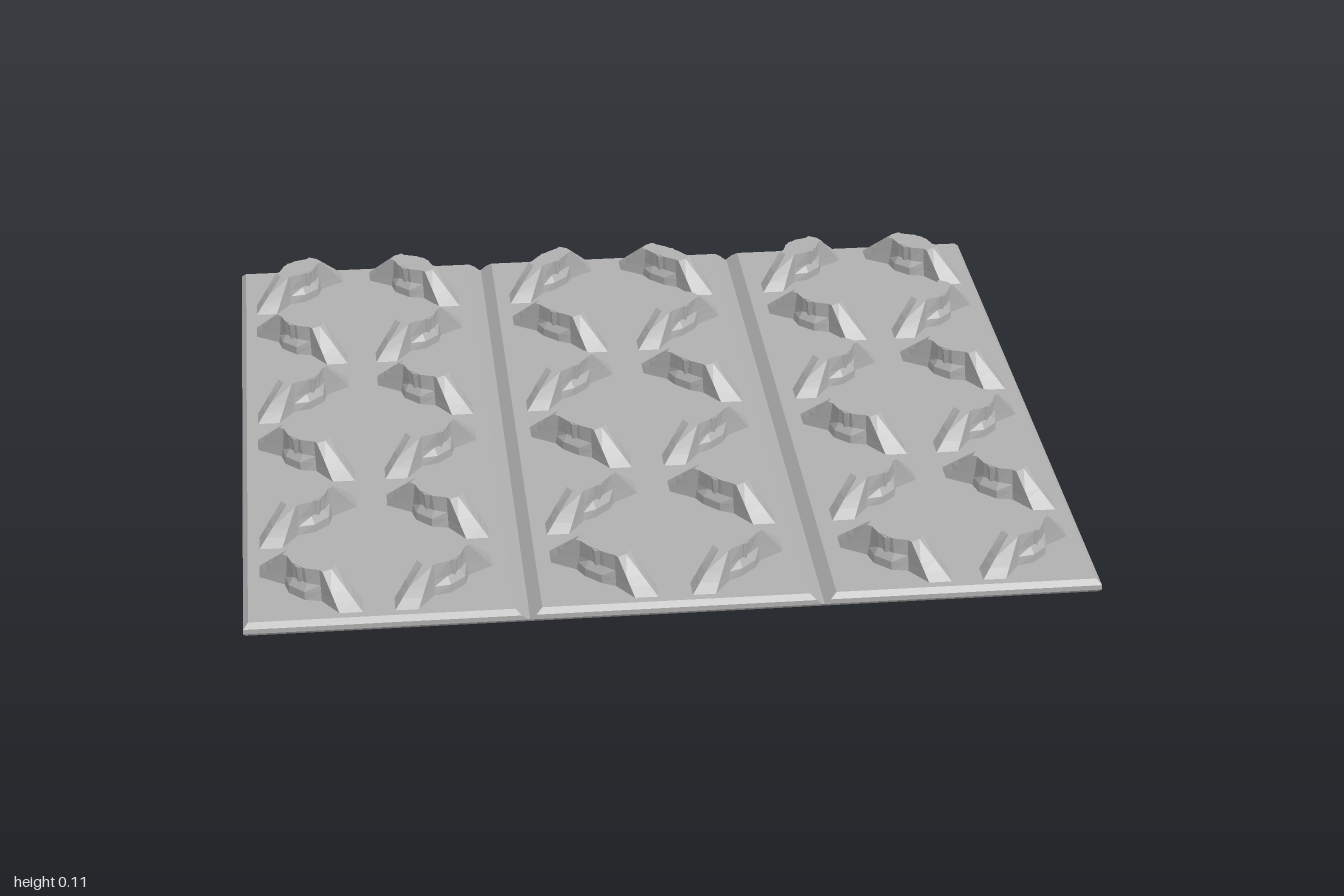
import * as THREE from 'three';
import { mergeGeometries } from 'three/addons/utils/BufferGeometryUtils.js';

// Flat-faced solid through stacked rings of [x, y, z], counter-clockwise from above
function loft(rings) {
  const pos = [];
  const tri = (...p) => p.forEach((q) => pos.push(...q));
  const n = rings[0].length;
  const middle = (r) => [0, 1, 2].map((k) => r.reduce((s, p) => s + p[k], 0) / n);
  const low = rings[0], high = rings[rings.length - 1];
  const cl = middle(low), ch = middle(high);
  for (let i = 0; i < n; i++) {
    const j = (i + 1) % n;
    for (let r = 0; r + 1 < rings.length; r++) {
      const a = rings[r], b = rings[r + 1];
      tri(a[i], a[j], b[j]);
      tri(a[i], b[j], b[i]);
    }
    tri(cl, low[j], low[i]);
    tri(ch, high[i], high[j]);
  }
  const g = new THREE.BufferGeometry();
  g.setAttribute('position', new THREE.Float32BufferAttribute(pos, 3));
  g.computeVertexNormals();
  return g;
}

const rect = (x0, x1, z, y) => [[x1, y, z], [x1, y, -z], [x0, y, -z], [x0, y, z]];

// Mirrors a quarter outline (tip, wing, waist, bulge) into a full ring
function cleatRing(y, quarter) {
  const half = [...quarter, ...quarter.map(([u, w]) => [-u, w]).reverse()];
  const back = half.slice(1, -1).map(([u, w]) => [u, -w]).reverse();
  return [...half, ...back].map(([u, w]) => [u, y, -w]);
}

// Bow-tie cleat with sloping wings and a tongue on each side
function cleatGeometry(bulge) {
  const body = loft([
    cleatRing(0.028, [[0.17, 0], [0.131, 0.039], [0.06, 0.025], [0.026, bulge]]),
    cleatRing(0.052, [[0.141, 0], [0.111, 0.034], [0.057, 0.023], [0.025, bulge]]),
    cleatRing(0.07, [[0.119, 0], [0.097, 0.031], [0.055, 0.022], [0.022, bulge - 0.012]]),
    cleatRing(0.11, [[0.07, 0], [0.064, 0.023], [0.052, 0.021], [0.02, bulge - 0.009]]),
  ]);
  const tongues = [-1, 1].map((s) => {
    const g = new THREE.CylinderGeometry(0.016, 0.009, 0.055, 8).toNonIndexed();
    g.deleteAttribute('uv');
    g.translate(0, 0.081, s * (bulge - 0.019));
    g.computeVertexNormals();
    return g;
  });
  return mergeGeometries([body, ...tongues]);
}

export function createModel() {
  const model = new THREE.Group();
  const grey = new THREE.MeshStandardMaterial({ color: 0xb0b0b0 });
  grey.name = 'grey';
  const add = (name, geometry) => {
    const m = new THREE.Mesh(geometry, grey);
    m.name = name;
    model.add(m);
    return m;
  };

  // Thin backing slab
  add('backing', loft([rect(-0.995, 0.995, 0.93, 0), rect(-1, 1, 0.935, 0.007)]));

  // Three bevelled panels, with V grooves between them
  const panels = [
    ['leftPanel', 0.345, 1, 0.374, 0.988],
    ['middlePanel', -0.341, 0.341, -0.312, 0.312],
    ['rightPanel', -1, -0.345, -0.988, -0.374],
  ];
  for (const [name, x0, x1, t0, t1] of panels) {
    const m0 = Math.abs(x0) === 1 ? x0 : (x0 + t0) / 2;
    const m1 = Math.abs(x1) === 1 ? x1 : (x1 + t1) / 2;
    add(name, loft([
      rect(x0, x1, 0.935, 0.007),
      rect(m0, m1, 0.935, 0.019),
      rect(t0, t1, 0.923, 0.031),
    ]));
  }

  // Cleats in alternating diagonals, fuller on the outer panels
  const outer = cleatGeometry(0.046), inner = cleatGeometry(0.036);
  [-0.842, -0.532, -0.158, 0.158, 0.532, 0.842].forEach((x, i) => {
    [-0.785, -0.473, -0.16, 0.16, 0.473, 0.785].forEach((z, j) => {
      const cleat = add('cleat', Math.abs(x) < 0.3 ? inner : outer);
      cleat.position.set(x, 0, z);
      cleat.rotation.y = ((i + j) % 2 ? -1 : 1) * Math.PI / 4;
    });
  });
  return model;
}
